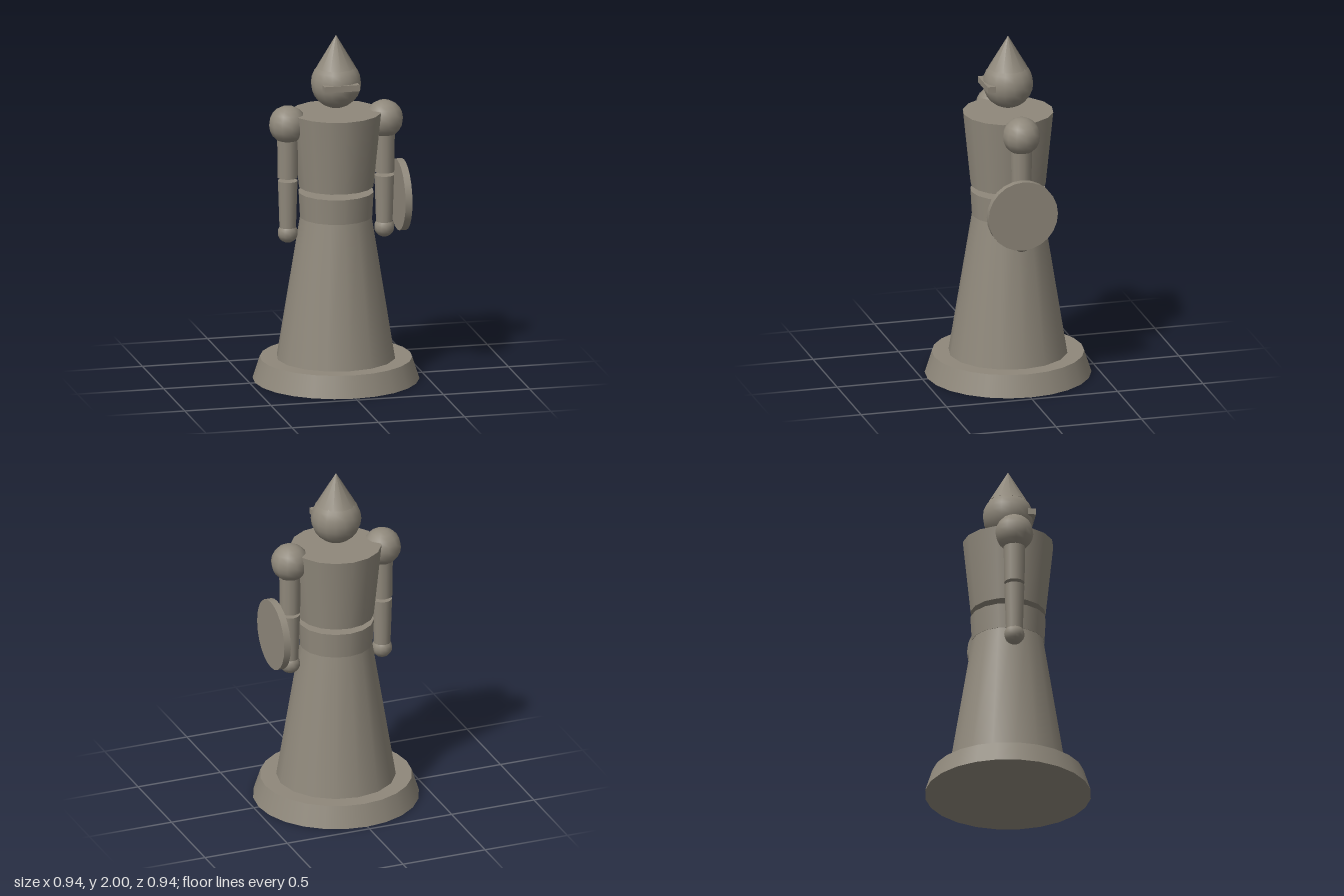
import * as THREE from 'three';

export function createModel() {
  const group = new THREE.Group();
  const stone = new THREE.MeshStandardMaterial({ color: 0x8f887b });
  stone.name = 'stone';

  function add(name, geometry, x, y, z) {
    const mesh = new THREE.Mesh(geometry, stone);
    mesh.name = name;
    mesh.position.set(x, y, z);
    group.add(mesh);
    return mesh;
  }
  // Tapered cylinder standing between two heights
  function taper(name, rTop, rBottom, y0, y1, sides, x = 0) {
    return add(name, new THREE.CylinderGeometry(rTop, rBottom, y1 - y0, sides), x, (y0 + y1) / 2, 0);
  }
  function ball(name, r, x, y, w, h) {
    return add(name, new THREE.SphereGeometry(r, w, h), x, y, 0);
  }

  // Body
  taper('base', 0.43, 0.47, 0, 0.125, 24);
  taper('skirt', 0.204, 0.337, 0.125, 0.945, 16);
  taper('belt', 0.214, 0.206, 0.945, 1.09, 16);
  taper('torso', 0.257, 0.213, 1.123, 1.553, 16);

  // Head with pointed helmet and visor bar
  ball('head', 0.143, 0, 1.72, 16, 12);
  taper('helmet', 0, 0.112, 1.81, 2, 12);
  add('visor', new THREE.BoxGeometry(0.204, 0.036, 0.047), 0, 1.72, 0.123);

  // Arms
  for (const [side, s] of [['left', 1], ['right', -1]]) {
    const x = 0.28 * s;
    ball(side + 'Shoulder', 0.108, x, 1.495, 12, 10);
    taper(side + 'UpperArm', 0.062, 0.058, 1.187, 1.45, 12, x);
    taper(side + 'Forearm', 0.057, 0.048, 0.895, 1.168, 12, x);
    ball(side + 'Hand', 0.058, x, 0.865, 12, 10);
  }

  // Round shield on the left side
  const shield = add('shield', new THREE.CylinderGeometry(0.203, 0.203, 0.04, 24), 0.369, 1.052, 0.02);
  shield.rotation.z = Math.PI / 2;

  return group;
}
